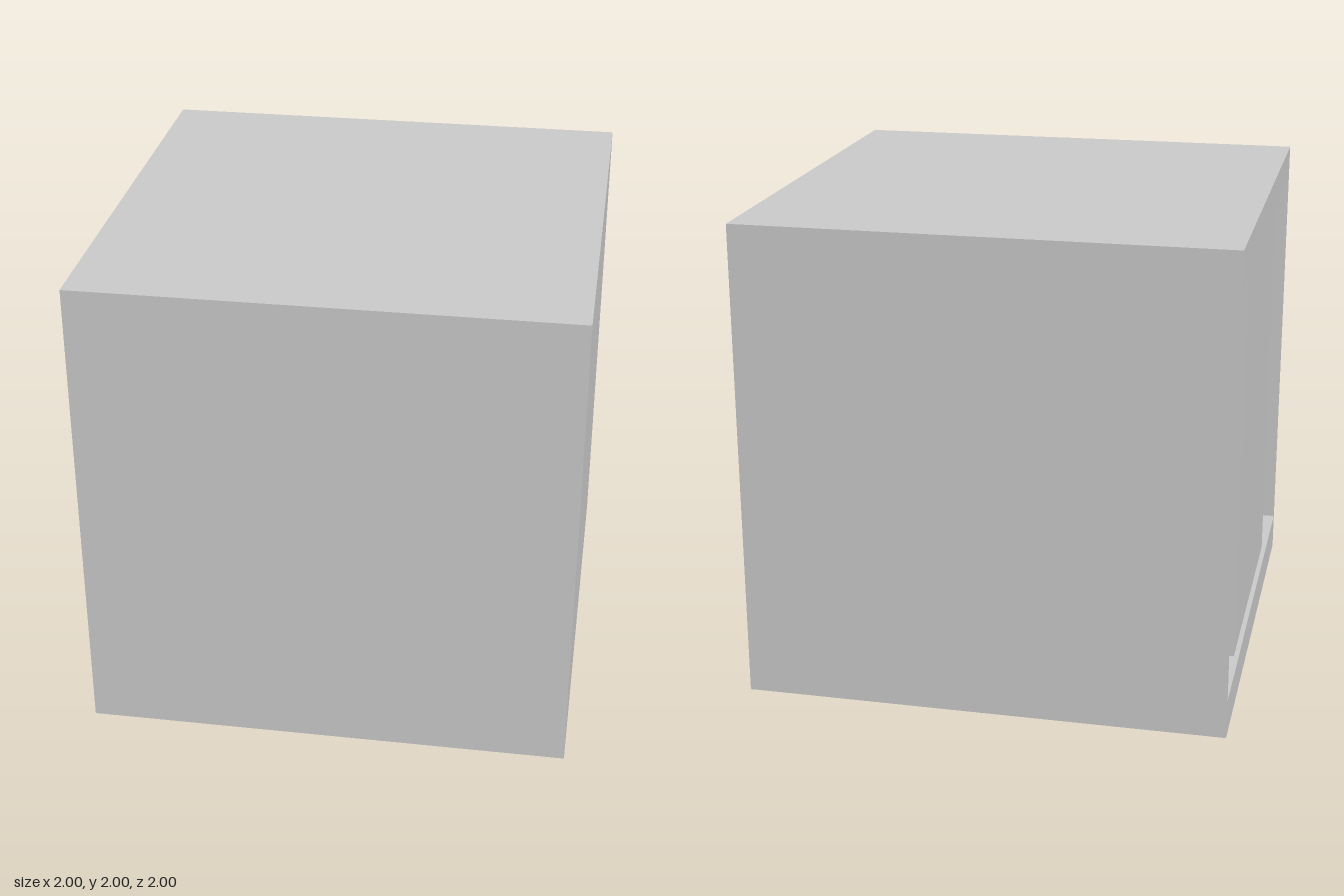
import * as THREE from 'three';

export function createModel() {
  const group = new THREE.Group();
  const material = new THREE.MeshStandardMaterial({ color: 0xcccccc });

  // Adds a box spanning two opposite corners
  function addBox(name, [x0, y0, z0], [x1, y1, z1]) {
    const mesh = new THREE.Mesh(new THREE.BoxGeometry(x1 - x0, y1 - y0, z1 - z0), material);
    mesh.position.set((x0 + x1) / 2, (y0 + y1) / 2, (z0 + z1) / 2);
    mesh.name = name;
    group.add(mesh);
  }

  const slab = 0.16;      // floor and roof thickness
  const wall = 0.01;      // thin side walls
  const panelX = -0.865;  // face of the recessed panels
  const doorX = -0.98;    // face of the doors
  const doorWidth = 0.59;
  const top = 2 - slab;

  // Cabin shell, open on the -x side
  addBox('floor', [-1, 0, -1], [1, slab, 1]);
  addBox('roof', [-1, top, -1], [1, 2, 1]);
  addBox('frontWall', [-1, slab, 1 - wall], [1, top, 1]);
  addBox('backWall', [-1, slab, -1], [1, top, -1 + wall]);
  addBox('endWall', [1 - wall, slab, -1 + wall], [1, top, 1 - wall]);

  // Recessed panel closing the opening
  addBox('recessedPanel', [panelX, slab, -1 + wall], [panelX + 0.05, top, 1 - wall]);

  // Pair of doors meeting in the middle
  addBox('backDoor', [doorX, slab, -doorWidth], [panelX, top, 0]);
  addBox('frontDoor', [doorX, slab, 0], [panelX, top, doorWidth]);

  return group;
}
